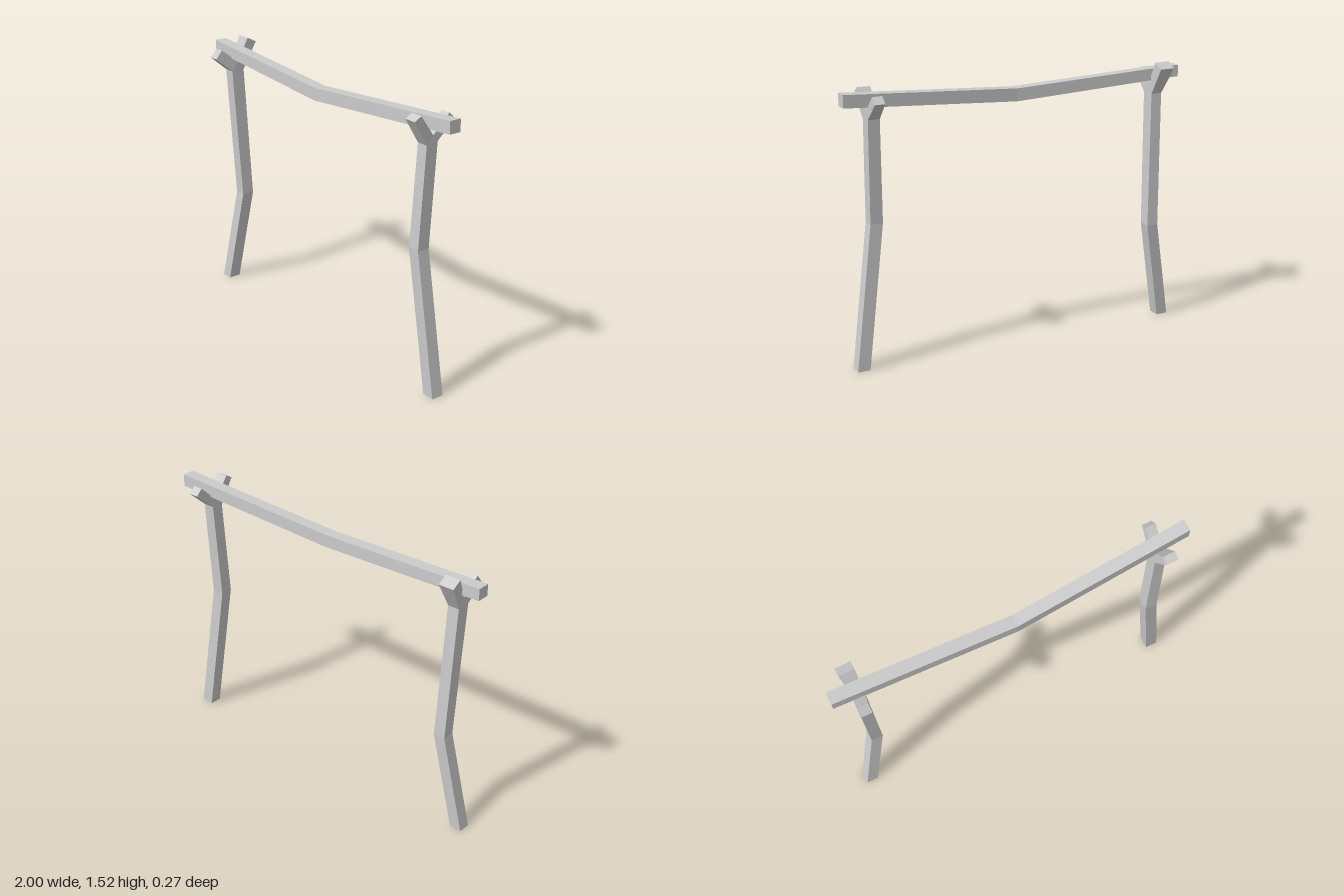
import * as THREE from 'three';

const material = new THREE.MeshStandardMaterial({ color: 0xcccccc, flatShading: true, side: THREE.DoubleSide });

// Four-sided timber skinned over a list of four-corner sections
function timber(name, sections, capStart, capEnd) {
  const points = [];
  const quad = (a, b, c, d) => points.push(...a, ...b, ...c, ...a, ...c, ...d);
  for (let s = 0; s < sections.length - 1; s++) {
    const a = sections[s], b = sections[s + 1];
    for (let i = 0; i < 4; i++) {
      const j = (i + 1) % 4;
      quad(a[i], a[j], b[j], b[i]);
    }
  }
  if (capStart) quad(...[...sections[0]].reverse());
  if (capEnd) quad(...sections[sections.length - 1]);
  const geometry = new THREE.BufferGeometry();
  geometry.setAttribute('position', new THREE.Float32BufferAttribute(points, 3));
  geometry.computeVertexNormals();
  const mesh = new THREE.Mesh(geometry, material);
  mesh.name = name;
  return mesh;
}

// Section across x, between a front edge and a back edge given as [z, y]
const across = (x0, x1, [zf, yf], [zb, yb]) =>
  [[x0, yf, zf], [x1, yf, zf], [x1, yb, zb], [x0, yb, zb]];

// Section across the beam
const beamSection = (x, y0, y1, z0, z1) => [[x, y0, z1], [x, y0, z0], [x, y1, z0], [x, y1, z1]];

// Bent post with a Y-shaped fork; tips hold [x0, x1, outer edge, inner edge]
function forkedPost(name, { foot, knee, neck, ridge, frontTip, backTip }) {
  const group = new THREE.Group();
  group.name = name;
  const [x0, x1, front, back] = neck;
  group.add(timber('post', [across(...foot), across(...knee), across(...neck), across(x0, x1, ridge, ridge)], false, false));
  const [fx0, fx1, fOuter, fInner] = frontTip;
  group.add(timber('frontProng', [across(x0, x1, front, ridge), across(fx0, fx1, fOuter, fInner)], false, true));
  const [bx0, bx1, bOuter, bInner] = backTip;
  group.add(timber('backProng', [across(x0, x1, ridge, back), across(bx0, bx1, bInner, bOuter)], false, true));
  return group;
}

export function createModel() {
  const model = new THREE.Group();
  model.name = 'forkedPostFrame';

  // Sagging crossbar resting in the forks
  model.add(timber('crossbar', [
    beamSection(-1, 1.42, 1.485, -0.035, 0.035),
    beamSection(0, 1.365, 1.435, -0.003, 0.065),
    beamSection(1, 1.432, 1.5, -0.05, 0.018),
  ], true, true));

  model.add(forkedPost('leftPost', {
    foot: [0.895, 0.965, [0.04, 0], [-0.03, 0]],
    knee: [0.788, 0.857, [0.07, 0.795], [0, 0.795]],
    neck: [0.8, 0.865, [0.04, 1.345], [-0.03, 1.355]],
    ridge: [0, 1.39],
    frontTip: [0.802, 0.872, [0.126, 1.482], [0.086, 1.505]],
    backTip: [0.81, 0.866, [-0.137, 1.452], [-0.1, 1.487]],
  }));

  model.add(forkedPost('rightPost', {
    foot: [-0.98, -0.912, [0.04, 0], [-0.03, 0]],
    knee: [-0.87, -0.803, [0, 0.575], [-0.07, 0.575]],
    neck: [-0.89, -0.826, [0.04, 1.335], [-0.038, 1.335]],
    ridge: [0, 1.385],
    frontTip: [-0.895, -0.838, [0.138, 1.418], [0.1, 1.466]],
    backTip: [-0.912, -0.826, [-0.127, 1.487], [-0.07, 1.517]],
  }));

  return model;
}
